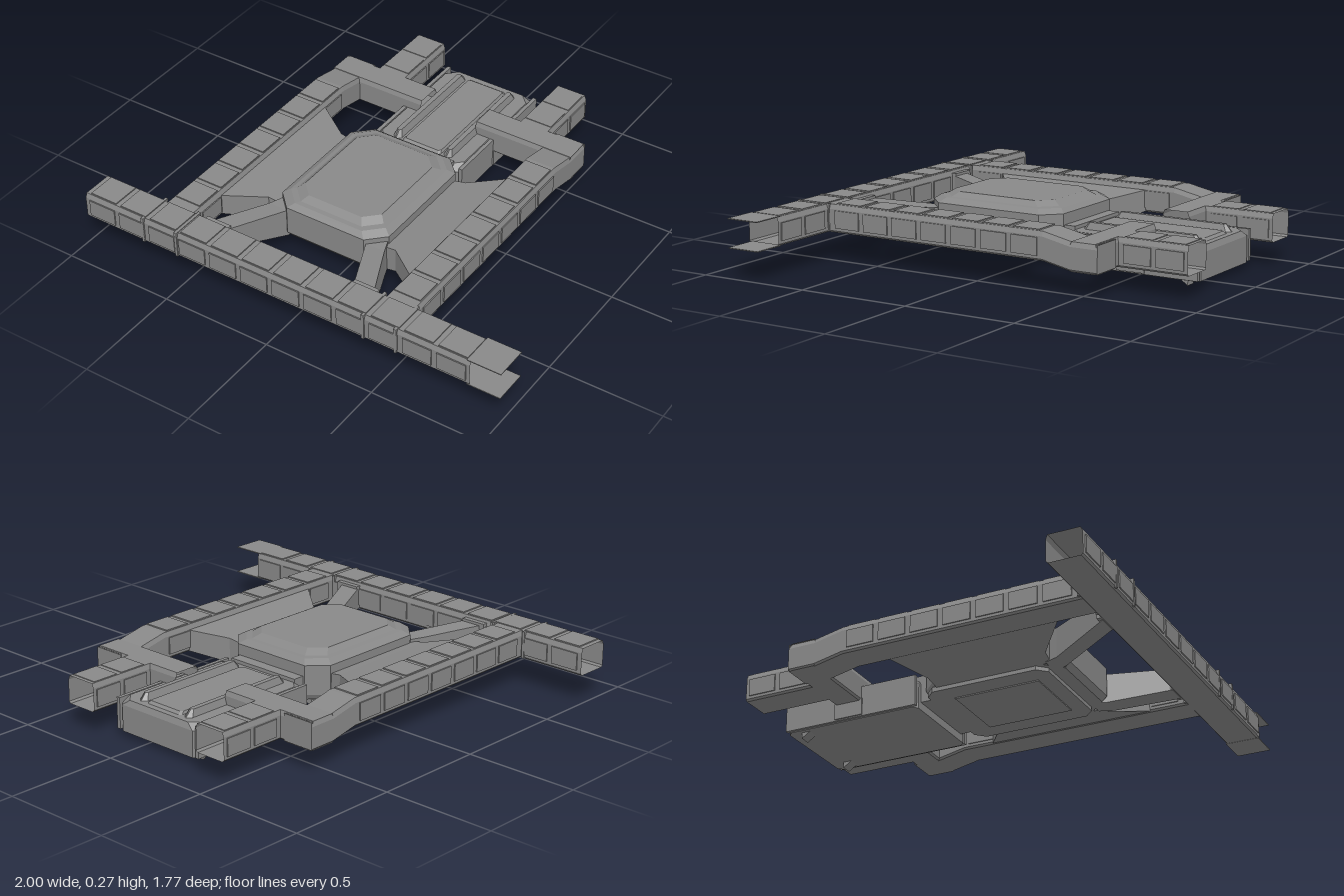
import * as THREE from 'three';

const material = new THREE.MeshStandardMaterial({
  color: 0x888888, flatShading: true, side: THREE.DoubleSide,
});

function add(parent, name, geometry) {
  const mesh = new THREE.Mesh(geometry, material);
  mesh.name = name;
  parent.add(mesh);
  return mesh;
}

function box(parent, name, x0, x1, y0, y1, z0, z1) {
  const mesh = add(parent, name, new THREE.BoxGeometry(x1 - x0, y1 - y0, z1 - z0));
  mesh.position.set((x0 + x1) / 2, (y0 + y1) / 2, (z0 + z1) / 2);
  return mesh;
}

// Skin a list of equal-length rings, with optional flat ends
function loft(rings, capped = true) {
  const out = [];
  const tri = (...points) => points.forEach((p) => out.push(...p));
  const n = rings[0].length;
  for (let k = 0; k < rings.length - 1; k++) {
    const a = rings[k], b = rings[k + 1];
    for (let i = 0; i < n; i++) {
      const j = (i + 1) % n;
      tri(a[i], a[j], b[j]);
      tri(a[i], b[j], b[i]);
    }
  }
  if (capped) {
    const first = rings[0], last = rings[rings.length - 1];
    for (let i = 1; i < n - 1; i++) {
      tri(first[0], first[i + 1], first[i]);
      tri(last[0], last[i], last[i + 1]);
    }
  }
  const geometry = new THREE.BufferGeometry();
  geometry.setAttribute('position', new THREE.Float32BufferAttribute(out, 3));
  geometry.computeVertexNormals();
  return geometry;
}

// Horizontal rectangle with cut corners
function octagon(x0, x1, z0, z1, c, y) {
  return [
    [x1 - c, y, z1], [x1, y, z1 - c], [x1, y, z0 + c], [x1 - c, y, z0],
    [x0 + c, y, z0], [x0, y, z0 + c], [x0, y, z1 - c], [x0 + c, y, z1],
  ];
}

// Hollow corridor: bevelled section swept along x or z; stations are [position, floor height]
function corridor(parent, name, axis, centre, width, height, stations) {
  const w = width / 2, c = 0.02, b = 0.008;
  const section = [
    [w - b, 0], [w, b], [w, height - c], [w - b, height],
    [-w + b, height], [-w, height - c], [-w, b], [-w + b, 0],
  ];
  const rings = stations.map(([s, y]) => section.map(([u, v]) =>
    (axis === 'z' ? [centre + u, y + v, s] : [s, y + v, centre - u])));
  return add(parent, name, loft(rings, false));
}

// Raised plates on the roof and both walls of a corridor
function plates(parent, axis, centre, width, height, floor, start, end, count) {
  const pitch = (end - start) / count, t = 0.005, w = width / 2;
  for (let i = 0; i < count; i++) {
    const s0 = start + i * pitch + 0.012, s1 = start + (i + 1) * pitch - 0.012;
    const put = (name, u0, u1, v0, v1) => (axis === 'z'
      ? box(parent, name, centre + u0, centre + u1, floor + v0, floor + v1, s0, s1)
      : box(parent, name, s0, s1, floor + v0, floor + v1, centre + u0, centre + u1));
    put('roofPlate', -w + 0.012, w - 0.012, height, height + t);
    put('wallPlate', w, w + t, 0.02, height - 0.025);
    put('wallPlate', -w - t, -w, 0.02, height - 0.025);
  }
}

// One side of the structure, built on +x
function buildSide() {
  const side = new THREE.Group();

  // Long side corridor, stepping down toward the back
  corridor(side, 'sideCorridor', 'z', 0.538, 0.146, 0.12,
    [[-0.58, 0.1], [-0.46, 0.1], [-0.33, 0.127], [0.74, 0.127]]);
  plates(side, 'z', 0.538, 0.146, 0.12, 0.127, -0.32, 0.7, 7);

  // Cross corridor and rear stub
  corridor(side, 'crossCorridor', 'x', -0.517, 0.124, 0.122, [[0.14, 0.1], [0.608, 0.1]]);
  box(side, 'cornerWall', 0.465, 0.61, 0.103, 0.218, -0.582, -0.578);
  corridor(side, 'rearStub', 'z', 0.367, 0.15, 0.122, [[-0.89, 0.1], [-0.57, 0.1]]);
  plates(side, 'z', 0.367, 0.15, 0.12, 0.1, -0.885, -0.59, 2);

  // Sloped wing joining the hub to the side corridor
  const wingRing = (x, z0, z1, y0, y1) =>
    [[x, y0, z1], [x, y0, z0], [x, y1, z0], [x, y1, z1]];
  add(side, 'wing', loft([
    wingRing(0.25, -0.09, 0.43, 0.075, 0.19),
    wingRing(0.315, -0.095, 0.435, 0.09, 0.2),
    wingRing(0.468, -0.19, 0.56, 0.13, 0.225),
  ]));

  // Diagonal strut to the front corridor
  const strutRing = (x0, x1, y0, y1, z) =>
    [[x0, y0, z], [x1, y0, z], [x1, y1, z], [x0, y1, z]];
  add(side, 'strut', loft([
    strutRing(0.17, 0.262, 0.075, 0.205, 0.41),
    strutRing(0.195, 0.285, 0.075, 0.205, 0.47),
    strutRing(0.31, 0.405, 0.128, 0.225, 0.725),
  ]));
  box(side, 'strutFoot', 0.305, 0.42, 0.13, 0.235, 0.705, 0.73);

  // Ribs, rail, bracket and foot of the rear pod
  add(side, 'podRib', loft([
    octagon(0.105, 0.15, -0.79, -0.23, 0.02, 0.16),
    octagon(0.118, 0.14, -0.76, -0.26, 0.008, 0.195),
  ]));
  box(side, 'podEdgeRail', 0.215, 0.232, 0.03, 0.165, -0.82, -0.2);
  box(side, 'podBracket', 0.215, 0.238, 0.035, 0.11, -0.58, -0.45);
  add(side, 'podFoot', loft([
    [[0.15, 0.03, -0.76], [0.15, 0, -0.76], [0.15, 0.03, -0.715]],
    [[0.2, 0.03, -0.76], [0.2, 0, -0.76], [0.2, 0.03, -0.715]],
  ]));
  return side;
}

export function createModel() {
  const model = new THREE.Group();
  model.name = 'station';

  // Front corridor with two thin plates past its left end
  corridor(model, 'frontCorridor', 'x', 0.8, 0.152, 0.12, [[-1, 0.126], [0.865, 0.126]]);
  plates(model, 'x', 0.8, 0.152, 0.12, 0.126, -0.99, 0.86, 12);
  box(model, 'roofExtension', 0.85, 1, 0.246, 0.25, 0.725, 0.875);
  box(model, 'floorExtension', 0.85, 1, 0.125, 0.129, 0.725, 0.875);
  for (const x of [-0.7, -0.53, 0.38, 0.53]) {
    box(model, 'collar', x - 0.006, x + 0.006, 0.13, 0.249, 0.718, 0.882);
  }

  // Mirrored halves share a centre line slightly right of the middle
  const core = new THREE.Group();
  core.name = 'core';
  core.position.x = -0.077;
  model.add(core);
  const left = buildSide(), right = buildSide();
  left.name = 'leftSide';
  right.name = 'rightSide';
  right.scale.x = -1;
  core.add(left, right);

  // Central hub with raised roof, lower plate and hatch
  add(core, 'hub', loft([
    octagon(-0.25, 0.25, -0.16, 0.46, 0.07, 0.075),
    octagon(-0.265, 0.265, -0.17, 0.48, 0.075, 0.1),
    octagon(-0.265, 0.265, -0.17, 0.48, 0.075, 0.228),
    octagon(-0.235, 0.235, -0.145, 0.455, 0.07, 0.247),
    octagon(-0.215, 0.215, -0.125, 0.435, 0.065, 0.25),
    octagon(-0.19, 0.19, -0.09, 0.405, 0.06, 0.27),
  ]));
  add(core, 'hubLowerPlate', loft([
    octagon(-0.25, 0.25, -0.15, 0.4, 0.04, 0.058),
    octagon(-0.25, 0.25, -0.15, 0.4, 0.04, 0.08),
  ]));
  box(core, 'hubHatch', -0.16, 0.16, 0.053, 0.06, -0.05, 0.33);

  // Neck and rear pod
  box(core, 'neck', -0.18, 0.18, 0.06, 0.18, -0.22, -0.15);
  add(core, 'pod', loft([
    octagon(-0.22, 0.22, -0.82, -0.2, 0.02, 0.026),
    octagon(-0.22, 0.22, -0.82, -0.2, 0.02, 0.14),
    octagon(-0.21, 0.21, -0.81, -0.21, 0.045, 0.165),
  ]));
  add(core, 'podRoofPanel', loft([
    octagon(-0.1, 0.1, -0.79, -0.23, 0.01, 0.16),
    octagon(-0.09, 0.09, -0.77, -0.25, 0.01, 0.175),
  ]));
  return model;
}
